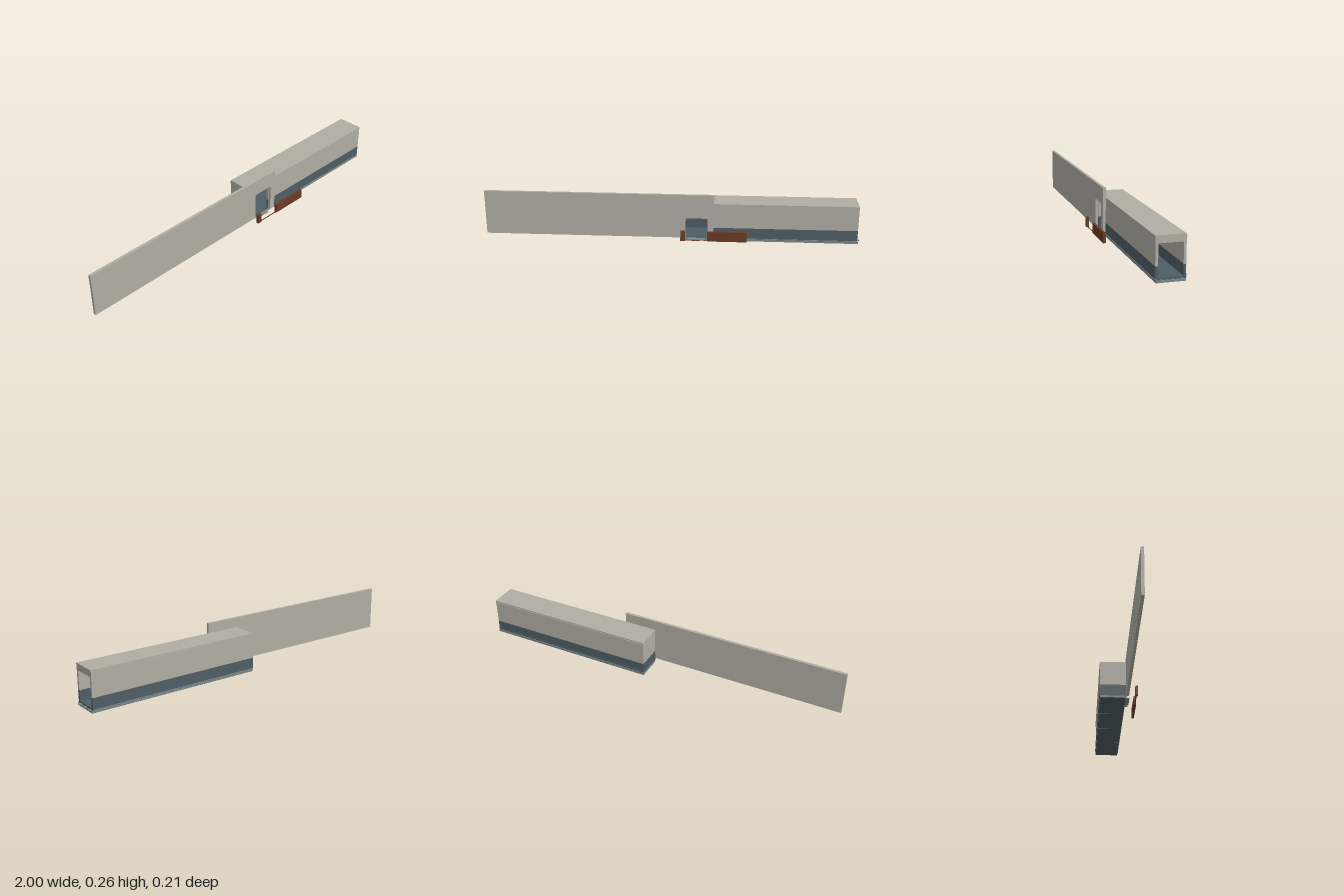
import * as THREE from 'three';

const mat = (name, color) => {
  const m = new THREE.MeshStandardMaterial({ color });
  m.name = name;
  return m;
};

export function createModel() {
  const grey = mat('warm grey panel', 0xb0ada3);
  const blue = mat('slate blue', 0x4e5d64);
  const steel = mat('floor frame grey', 0x7f898b);
  const brown = mat('brown wainscot', 0x6b3b25);

  const model = new THREE.Group();
  model.name = 'corridor';

  const add = (parent, name, geometry, material) => {
    const mesh = new THREE.Mesh(geometry, material);
    mesh.name = name;
    parent.add(mesh);
    return mesh;
  };
  // Box given by its limits on each axis
  const box = (parent, name, material, x0, x1, y0, y1, z0, z1) => {
    const g = new THREE.BoxGeometry(x1 - x0, y1 - y0, z1 - z0);
    g.translate((x0 + x1) / 2, (y0 + y1) / 2, (z0 + z1) / 2);
    return add(parent, name, g, material);
  };
  // Wall with a round-cornered doorway open at the bottom
  const doorwayWall = (x0, x1, y0, y1, a, b, top, z0, z1) => {
    const r = 0.007;
    const s = new THREE.Shape();
    s.moveTo(x0, y0);
    s.lineTo(a, y0);
    s.lineTo(a, top - r);
    s.quadraticCurveTo(a, top, a + r, top);
    s.lineTo(b - r, top);
    s.quadraticCurveTo(b, top, b, top - r);
    s.lineTo(b, y0);
    s.lineTo(x1, y0);
    s.lineTo(x1, y1);
    s.lineTo(x0, y1);
    s.closePath();
    const g = new THREE.ExtrudeGeometry(s, { depth: z1 - z0, bevelEnabled: false, curveSegments: 4 });
    g.translate(0, 0, z0);
    return g;
  };

  const X0 = 0.045, X1 = 0.985, Z0 = -0.1, Z1 = 0.04;
  const FLOOR = 0.022, BAND = 0.075, ROOF = 0.203, DOOR = 0.175, T = 0.01;
  const doorA = 0.075, doorB = 0.192;

  // Floor: frame, dark deck and underside panels
  const floor = new THREE.Group();
  floor.name = 'floor';
  model.add(floor);
  box(floor, 'baseFrame', steel, X0, X1 + 0.005, 0.001, 0.012, Z0 + 0.001, Z1 - 0.002);
  box(floor, 'deck', blue, X0, X1, 0.012, FLOOR, Z0, Z1);
  box(floor, 'deckRail', steel, X0, X1, 0.014, 0.018, Z0 - 0.002, Z1 + 0.002);
  const bay = (X1 - X0) / 4;
  for (let i = 0; i < 4; i++) {
    box(floor, 'underPanel', blue, X0 + i * bay + 0.002, X0 + (i + 1) * bay - 0.002, 0, 0.003, Z0 + 0.002, Z1 - 0.004);
  }
  for (const z of [0.012, -0.035, -0.08]) {
    box(floor, 'endCoupler', steel, X1, 1, 0.01, 0.015, z - 0.006, z + 0.006);
  }
  box(floor, 'doorStep', steel, 0.085, 0.178, 0.012, 0.015, Z1, 0.061);

  // Walls: slate band below, grey above
  const walls = new THREE.Group();
  walls.name = 'walls';
  model.add(walls);
  for (const [name, m, y0, y1] of [['Lower', blue, FLOOR, BAND], ['Upper', grey, BAND, ROOF]]) {
    box(walls, 'backWall' + name, m, X0, X1, y0, y1, Z0, Z0 + T);
    box(walls, 'closedEnd' + name, m, X0, X0 + T, y0, y1, Z0 + T, Z1 - T);
  }
  add(walls, 'frontWallUpper', doorwayWall(X0, X1, BAND, ROOF, doorA, doorB, DOOR, Z1 - T, Z1), grey);
  box(walls, 'frontWallLower', blue, X0, doorA, FLOOR, BAND, Z1 - T, Z1);
  box(walls, 'frontWallLower', blue, doorB, X1, FLOOR, BAND, Z1 - T, Z1);

  // Open end with its doorway
  const openEnd = add(walls, 'openEndUpper',
    doorwayWall(-Z1 + T, -Z0 - T, BAND, ROOF, -0.027, 0.088, DOOR, X1 - T, X1), grey);
  openEnd.rotation.y = Math.PI / 2;
  box(walls, 'openEndLower', blue, X1 - T, X1, FLOOR, BAND, 0.027, Z1 - T);
  box(walls, 'openEndLower', blue, X1 - T, X1, FLOOR, BAND, Z0 + T, -0.088);

  // Roof and edge trims
  box(model, 'roof', grey, X0, X1, ROOF, 0.21, Z0, Z1 + 0.002);
  box(model, 'topTrim', grey, X0, X1, 0.192, ROOF, Z0 - 0.003, Z0);
  box(model, 'bottomTrim', blue, X0, X1, FLOOR, 0.029, Z0 - 0.003, Z0);

  // Ceiling light duct, tapered downward
  const duct = new THREE.Shape([[0.006, 0.175], [0.012, 0.167], [0.049, 0.167], [0.055, 0.175]]
    .map(([u, y]) => new THREE.Vector2(u, y)));
  const ductGeo = new THREE.ExtrudeGeometry(duct, { depth: 0.77, bevelEnabled: false });
  ductGeo.rotateY(Math.PI / 2).translate(0.13, 0, 0);
  add(model, 'ceilingDuct', ductGeo, blue);
  box(model, 'ductRib', blue, 0.13, 0.9, 0.165, 0.167, -0.036, -0.026);

  // Long side wall with a doorway near its end
  add(model, 'longWall', doorwayWall(-1, 0.225, FLOOR, 0.262, doorA, doorB, DOOR, 0.043, 0.058), grey);

  // Separate low wainscot with a gap for the door
  box(model, 'wainscotShort', brown, 0.05, doorA, FLOOR, BAND, 0.092, 0.105);
  box(model, 'wainscotLong', brown, doorB, 0.4, FLOOR, BAND, 0.092, 0.105);
  box(model, 'wainscotSill', brown, doorA, doorB, FLOOR, 0.0235, 0.094, 0.1);

  return model;
}
